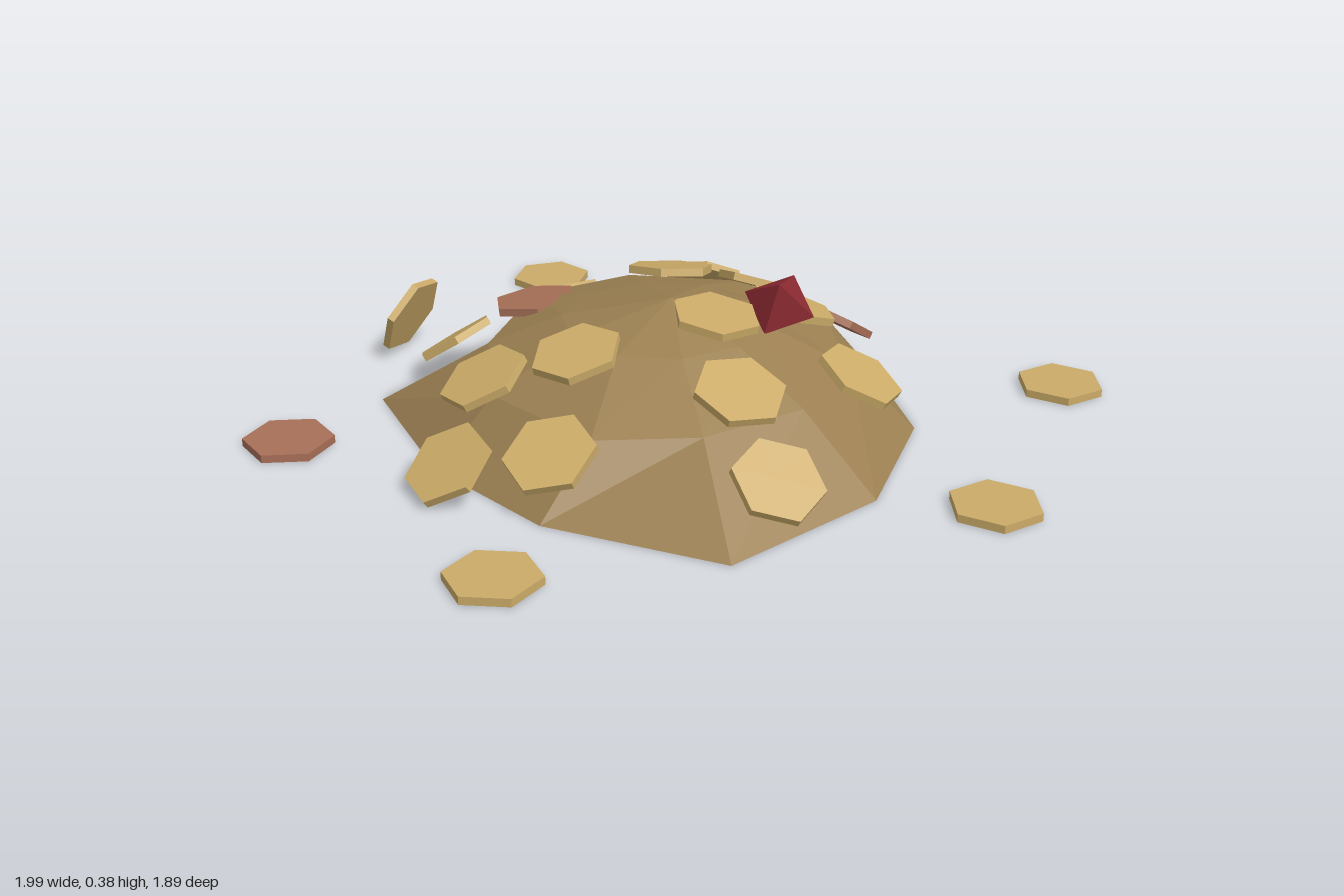
import * as THREE from 'three';

const paint = (name, color, extra = {}) => {
  const m = new THREE.MeshStandardMaterial({ color, flatShading: true, ...extra });
  m.name = name;
  return m;
};

// Open faceted dome: apex, two inner rings and a rim, ten corners each
function moundGeometry() {
  const rim = [
    [0.66, -0.015], [0.61, 0.435], [0.18, 0.595], [-0.2, 0.575], [-0.6, 0.41],
    [-0.67, -0.015], [-0.575, -0.43], [-0.23, -0.68], [0.19, -0.61], [0.5, -0.385],
  ];
  const middle = [ // x, z, y
    [0.45, 0.0, 0.17], [0.38, 0.27, 0.17], [0.19, 0.44, 0.16], [-0.15, 0.43, 0.16], [-0.34, 0.27, 0.19],
    [-0.46, 0.0, 0.21], [-0.39, -0.29, 0.2], [-0.16, -0.48, 0.19], [0.15, -0.45, 0.19], [0.38, -0.27, 0.17],
  ];
  const n = rim.length;
  const upper = rim.map((_, i) => {
    const a = (i / n) * Math.PI * 2;
    return [0.25 * Math.cos(a), 0.25 * Math.sin(a), 0.27];
  });
  const points = [0.04, 0.34, 0.01];
  for (const ring of [upper, middle, rim]) for (const [x, z, y = 0] of ring) points.push(x, y, z);

  const index = [];
  for (let i = 0; i < n; i++) {
    const j = (i + 1) % n;
    index.push(0, 1 + j, 1 + i);
    for (let r = 0; r < 2; r++) {
      const a = 1 + r * n + i, b = 1 + r * n + j;
      index.push(a, b, b + n, a, b + n, a + n);
    }
  }
  const g = new THREE.BufferGeometry();
  g.setAttribute('position', new THREE.Float32BufferAttribute(points, 3));
  g.setIndex(index);
  const flat = g.toNonIndexed();
  flat.computeVertexNormals();
  return flat;
}

export function createModel() {
  const group = new THREE.Group();
  const gold = paint('gold', 0xcbab68);
  const copper = paint('copper', 0xa87058);
  const earth = paint('dark gold', 0x9c8052, { side: THREE.DoubleSide });
  const ruby = paint('ruby red', 0x8a2a30);

  const add = (name, geometry, material) => {
    const mesh = new THREE.Mesh(geometry, material);
    mesh.name = name;
    group.add(mesh);
    return mesh;
  };

  add('mound', moundGeometry(), earth);

  // Six-sided coins: corner angle is measured from +x towards +z, in degrees
  const coinShape = new THREE.CylinderGeometry(0.112, 0.112, 0.02, 6);
  const up = new THREE.Vector3(0, 1, 0);
  function coin(name, x, y, z, corner, normal, material = gold) {
    const mesh = add(name, coinShape, material);
    mesh.position.set(x, y, z);
    const spin = new THREE.Quaternion().setFromAxisAngle(up, THREE.MathUtils.degToRad(90 - corner));
    mesh.quaternion.setFromUnitVectors(up, normal.clone().normalize()).multiply(spin);
  }

  // Coins resting on the slope, tilted more the further out they lie
  const slopeCoins = [ // x, y, z, corner
    [-0.355, 0.135, -0.55, -75], [-0.07, 0.215, -0.455, -90], [-0.165, 0.3, -0.21, 0],
    [0.16, 0.255, -0.315, -20], [0.44, 0.175, -0.23, -105], [0.15, 0.31, -0.03, -80],
    [-0.52, 0.15, -0.15, -85], [-0.575, 0.105, 0.175, -85], [0.37, 0.235, 0.135, 0],
    [0.555, 0.1, 0.215, -100], [-0.01, 0.265, 0.285, -5], [-0.185, 0.195, 0.425, -110],
    [0.13, 0.13, 0.51, -100], [-0.085, 0.075, 0.63, -100],
  ];
  const slopeNormal = (x, z, factor = 0.98) => {
    const r = Math.hypot(x, z), tilt = r * factor;
    return new THREE.Vector3((x / r) * Math.sin(tilt), Math.cos(tilt), (z / r) * Math.sin(tilt));
  };
  for (const [x, y, z, corner] of slopeCoins) coin('slopeCoin', x, y, z, corner, slopeNormal(x, z));
  coin('copperSlopeCoin', 0.085, 0.12, -0.58, -90, slopeNormal(0.085, -0.58), copper);
  coin('copperSunkenCoin', -0.4, 0.222, 0.05, -80, slopeNormal(-0.4, 0.05, 0.4), copper);

  // Coins lying flat on the ground
  const groundCoins = [[0.635, -0.84, -73], [-0.885, -0.465, 0], [0.885, -0.165, -74], [0.285, 0.83, -98]];
  for (const [x, z, corner] of groundCoins) coin('groundCoin', x, 0.01, z, corner, up);
  coin('copperGroundCoin', -0.565, 0.01, 0.73, -108, up, copper);

  // Coin propped on its edge
  coin('leaningCoin', -0.785, 0.11, 0.155, 0, new THREE.Vector3(-0.88, 0.4, 0.27));

  // Tilted octahedral gem near the top
  const gem = add('gem', new THREE.OctahedronGeometry(0.092), ruby);
  const axisY = new THREE.Vector3(0.04, 0.085, 0.05).normalize();
  const axisZ = new THREE.Vector3().crossVectors(new THREE.Vector3(0.075, -0.02, -0.03), axisY).normalize();
  const axisX = new THREE.Vector3().crossVectors(axisY, axisZ);
  gem.quaternion.setFromRotationMatrix(new THREE.Matrix4().makeBasis(axisX, axisY, axisZ));
  gem.position.set(0.213, 0.31, -0.193);

  return group;
}
